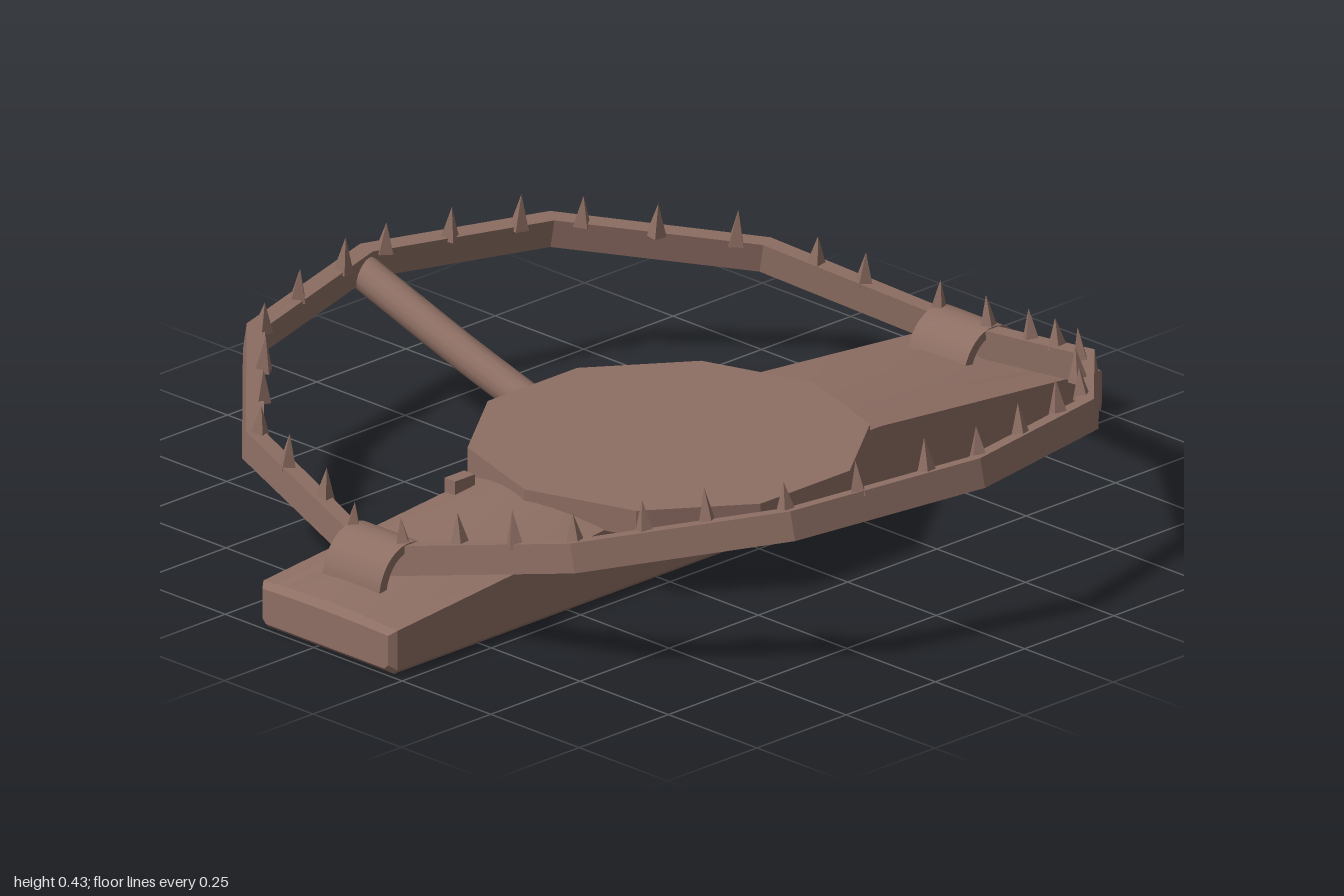
import * as THREE from 'three';
import { toCreasedNormals } from 'three/addons/utils/BufferGeometryUtils.js';

const metal = new THREE.MeshStandardMaterial({ color: 0x8d6e63 });
metal.name = 'dullBrownMetal';

function part(name, geometry) {
  const mesh = new THREE.Mesh(toCreasedNormals(geometry, 0.5), metal);
  mesh.name = name;
  return mesh;
}

// Skin closed rings of [x, y, z] points, with flat end caps
function loft(rings) {
  const n = rings[0].length, index = [];
  for (let i = 0; i < rings.length - 1; i++) {
    for (let j = 0; j < n; j++) {
      const a = i * n + j, b = i * n + (j + 1) % n;
      index.push(a, b, b + n, a, b + n, a + n);
    }
  }
  const last = (rings.length - 1) * n;
  for (let j = 1; j < n - 1; j++) {
    index.push(0, j + 1, j, last, last + j, last + j + 1);
  }
  const g = new THREE.BufferGeometry();
  g.setAttribute('position', new THREE.Float32BufferAttribute(rings.flat(2), 3));
  g.setIndex(index);
  return g;
}

// Long base: domed top that rises toward the middle, softened ends
function baseGeometry() {
  const stations = [
    // x, shoulder height, crown height, inset
    [1, 0.085, 0.088, 0.012], [0.985, 0.095, 0.102, 0], [0.37, 0.15, 0.19, 0],
  ];
  const all = [...stations.map(([x, ...r]) => [-x, ...r]), ...stations.slice().reverse()];
  return loft(all.map(([x, shoulder, crown, inset]) => {
    const back = -0.157 + inset, front = 0.222 - inset, steps = 10;
    const ring = [[x, inset, back + 0.01], [x, inset + 0.01, back]];
    for (let k = 0; k <= steps; k++) {
      const t = k / steps;
      ring.push([x, shoulder + (crown - shoulder) * Math.sin(Math.PI * t), back + (front - back) * t]);
    }
    ring.push([x, inset + 0.01, front], [x, inset, front - 0.01]);
    return ring;
  }));
}

const outerPath = [[0.855, 0.01], [0.735, 0.47], [0.425, 0.78], [0, 0.888]];
const innerPath = [[0.82, 0.01], [0.7, 0.455], [0.405, 0.748], [0, 0.852]];
const teethSpots = [
  [-0.82, 0.08], [-0.78, 0.2], [-0.755, 0.33], [-0.71, 0.455], [-0.61, 0.55], [-0.52, 0.635],
  [-0.41, 0.748], [-0.26, 0.8], [-0.1, 0.833], [0.03, 0.848], [0.18, 0.815], [0.33, 0.77],
  [0.45, 0.715], [0.55, 0.605], [0.665, 0.495], [0.745, 0.35], [0.775, 0.245], [0.82, 0.08],
];

// Half-ring jaw, tilted up away from the pivots, with a row of spikes
function jaw(name, slope, startY, side) {
  const group = new THREE.Group();
  group.name = name;
  const h = 0.06;
  const mirrored = path => [...path, ...path.slice(0, -1).reverse().map(([x, z]) => [-x, z])];
  const inner = mirrored(innerPath), outer = mirrored(outerPath);
  const bottom = ([x, z]) => [x, startY + slope * z, z];
  const top = ([x, z]) => [x, startY + slope * z + h, z - slope * h];
  group.add(part(name + 'Bar', loft(outer.map((o, i) =>
    [bottom(inner[i]), bottom(o), top(o), top(inner[i])]))));

  teethSpots.forEach(([x, z], i) => {
    const height = 0.065 + 0.006 * (i % 3);
    const tooth = part('tooth', new THREE.ConeGeometry(0.021, height, 4));
    tooth.position.set(x * side, startY + slope * z + h + height / 2 - 0.008, z - 0.012);
    tooth.rotation.set(-slope * 0.5, i * 0.9, 0);
    group.add(tooth);
  });
  if (side < 0) group.rotation.y = Math.PI;
  return group;
}

// Arched pivot strap over the jaw ends
function pivotGeometry() {
  const s = new THREE.Shape();
  s.moveTo(0.085, 0);
  s.absellipse(0, 0, 0.085, 0.1, 0, Math.PI, false);
  s.lineTo(-0.065, 0);
  s.absellipse(0, 0, 0.065, 0.082, Math.PI, 0, true);
  s.closePath();
  const g = new THREE.ExtrudeGeometry(s, { depth: 0.16, bevelEnabled: false, curveSegments: 10 });
  return g.translate(0, 0, -0.073);
}

export function createModel() {
  const model = new THREE.Group();
  model.name = 'jawTrap';

  model.add(part('base', baseGeometry()));

  // Ten-sided trigger plate, slightly off centre
  const plate = part('triggerPlate', new THREE.CylinderGeometry(0.405, 0.405, 0.055, 10)
    .rotateY(Math.PI / 10 * 5));
  plate.position.set(-0.055, 0.173, 0.05);
  model.add(plate);

  model.add(jaw('frontJaw', 0.226, 0.112, 1));
  model.add(jaw('rearJaw', 0.18, 0.112, -1));

  for (const side of [-1, 1]) {
    const pivot = part('pivotStrap', pivotGeometry());
    pivot.position.set(side * 0.818, 0.098, 0);
    model.add(pivot);
  }

  // Bent support rod running back to the rear jaw
  const rodPath = new THREE.CatmullRomCurve3([
    [0.1, -0.08], [0.1, -0.22], [0.17, -0.5], [0.21, -0.63], [0.285, -0.86],
  ].map(([y, z]) => new THREE.Vector3(-0.015, y, z)));
  model.add(part('supportRod', new THREE.TubeGeometry(rodPath, 20, 0.036, 14)));

  // Small catch beside the plate
  const latch = part('latch', new THREE.BoxGeometry(0.055, 0.03, 0.03));
  latch.position.set(-0.465, 0.165, -0.127);
  model.add(latch);

  return model;
}
